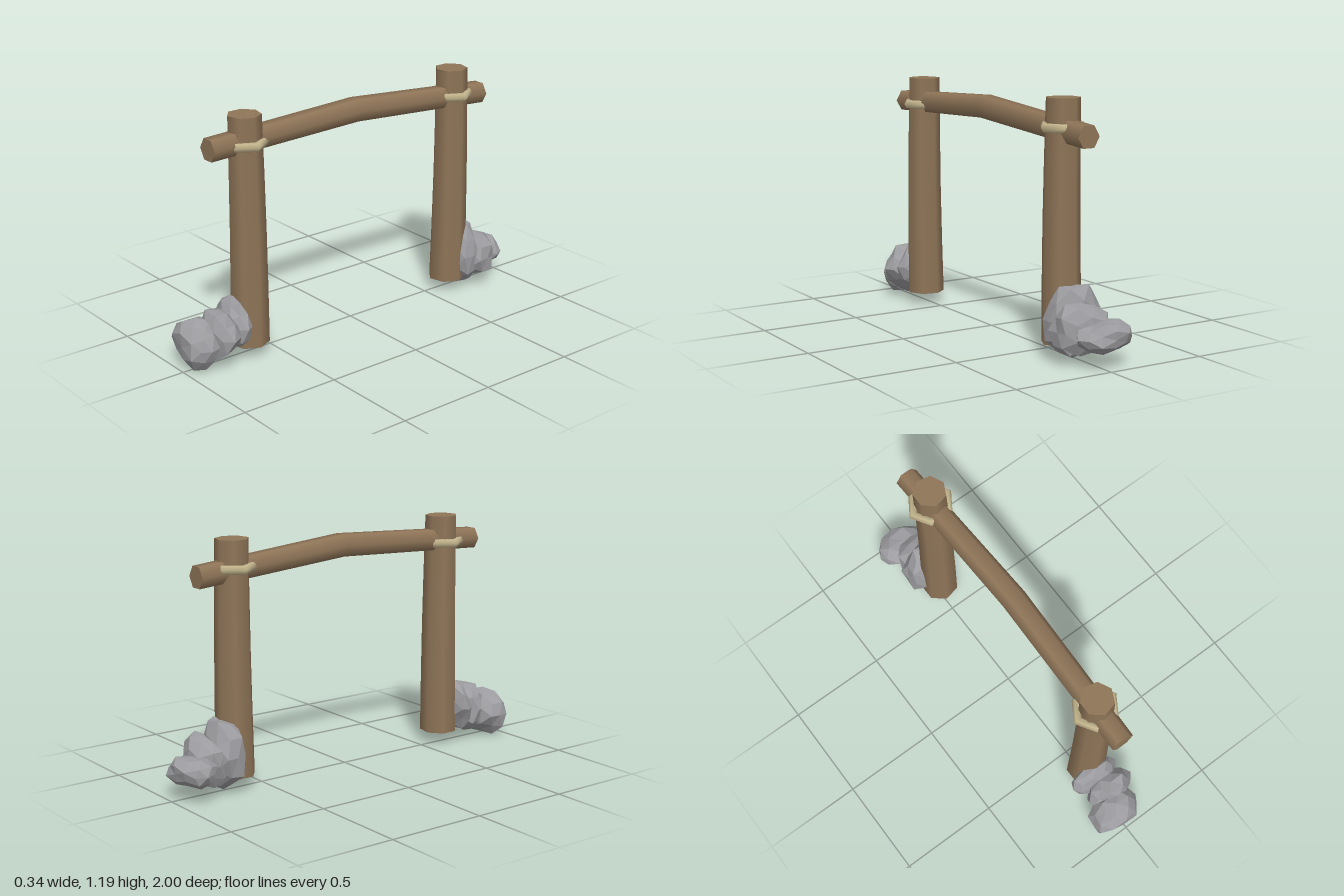
import * as THREE from 'three';

const wood = new THREE.MeshStandardMaterial({ name: 'wood', color: 0x8f7558 });
const rope = new THREE.MeshStandardMaterial({ name: 'rope', color: 0xc2b48c });
const stone = new THREE.MeshStandardMaterial({ name: 'stone', color: 0x9c9ca0 });

// Moves every vertex of a geometry by a rule
function warp(geometry, rule) {
  const p = geometry.attributes.position;
  const v = new THREE.Vector3();
  for (let i = 0; i < p.count; i++) {
    v.fromBufferAttribute(p, i);
    rule(v);
    p.setXYZ(i, v.x, v.y, v.z);
  }
  geometry.computeBoundingBox();
  return geometry;
}

function add(parent, name, geometry, material) {
  const mesh = new THREE.Mesh(geometry, material);
  mesh.name = name;
  parent.add(mesh);
  return mesh;
}

// Repeatable pseudo-random value from a direction, equal for shared corners
function noise(v, seed) {
  const s = Math.sin(v.x * 12.99 + v.y * 78.23 + v.z * 37.72 + seed * 4.37) * 437.58;
  return s - Math.floor(s);
}

// Faceted boulder fitted to a box given as [min, max] for each axis
function boulder(seed, xr, yr, zr) {
  const g = warp(new THREE.IcosahedronGeometry(1, 1), (v) => {
    const d = new THREE.Vector3(Math.round(v.x * 100), Math.round(v.y * 100), Math.round(v.z * 100)).multiplyScalar(0.01);
    v.multiplyScalar(0.86 + 0.26 * noise(d, seed));
  });
  const b = g.boundingBox.clone();
  const fit = (t, lo, hi, r) => r[0] + ((t - lo) / (hi - lo)) * (r[1] - r[0]);
  warp(g, (v) => v.set(
    fit(v.x, b.min.x, b.max.x, xr),
    fit(v.y, b.min.y, b.max.y, yr),
    fit(v.z, b.min.z, b.max.z, zr)));
  g.computeVertexNormals();
  return g;
}

// Slightly bowed, tapering log post
function post() {
  const g = new THREE.CylinderGeometry(0.081, 0.096, 1.13, 7, 4);
  g.rotateY(Math.PI / 2);
  return warp(g, (v) => {
    const t = v.y / 1.13 + 0.5;
    v.x += 0.018 + 0.006 * Math.sin(t * Math.PI);
    v.y += 0.625;
  });
}

// Six-sided crossbeam, arched in the middle
function beam() {
  const g = new THREE.CylinderGeometry(0.058, 0.058, 1.665, 6, 2);
  g.rotateY(Math.PI / 2);
  g.rotateX(Math.PI / 2);
  return warp(g, (v) => {
    const mid = 1 - Math.min(1, Math.abs(v.z) / 0.8325);
    const swell = 1 + 0.07 * mid;
    v.x = v.x * swell + 0.015 + 0.017 * mid;
    v.y = v.y * swell + 1.043 + 0.017 * v.z + 0.052 * mid;
  });
}

// Rope ring lashed around a post
function lashing() {
  const g = new THREE.TorusGeometry(0.098, 0.023, 6, 6);
  g.rotateX(Math.PI / 2);
  g.scale(1, 1, 0.91);
  return g;
}

export function createModel() {
  const model = new THREE.Group();
  model.name = 'woodenHitchingRail';

  add(model, 'crossbeam', beam(), wood);

  for (const [side, z] of [['front', 0.632], ['back', -0.635]]) {
    add(model, side + 'Post', post(), wood).position.z = z;
    add(model, side + 'Lashing', lashing(), rope).position.set(0.015, 1.056, z);
  }

  // Stones piled against the outer foot of each post: seed, x, y and z ranges
  const piles = {
    front: [
      [1, [-0.13, 0.14], [0.06, 0.32], [0.645, 0.79]],
      [2, [-0.10, 0.165], [0.02, 0.28], [0.72, 0.9]],
      [3, [-0.15, 0.12], [0.005, 0.25], [0.82, 1.0]],
    ],
    back: [
      [4, [-0.13, 0.14], [0.0, 0.35], [-0.81, -0.62]],
      [5, [-0.11, 0.165], [0.03, 0.28], [-0.9, -0.7]],
      [6, [-0.17, 0.12], [0.07, 0.21], [-1.0, -0.8]],
    ],
  };
  for (const [side, stones] of Object.entries(piles)) {
    const pile = new THREE.Group();
    pile.name = side + 'StonePile';
    stones.forEach(([seed, x, y, z], i) => {
      const geometry = boulder(seed, x, y, z);
      add(pile, side + 'Stone' + (i + 1), geometry, stone);
    });
    model.add(pile);
  }
  return model;
}
